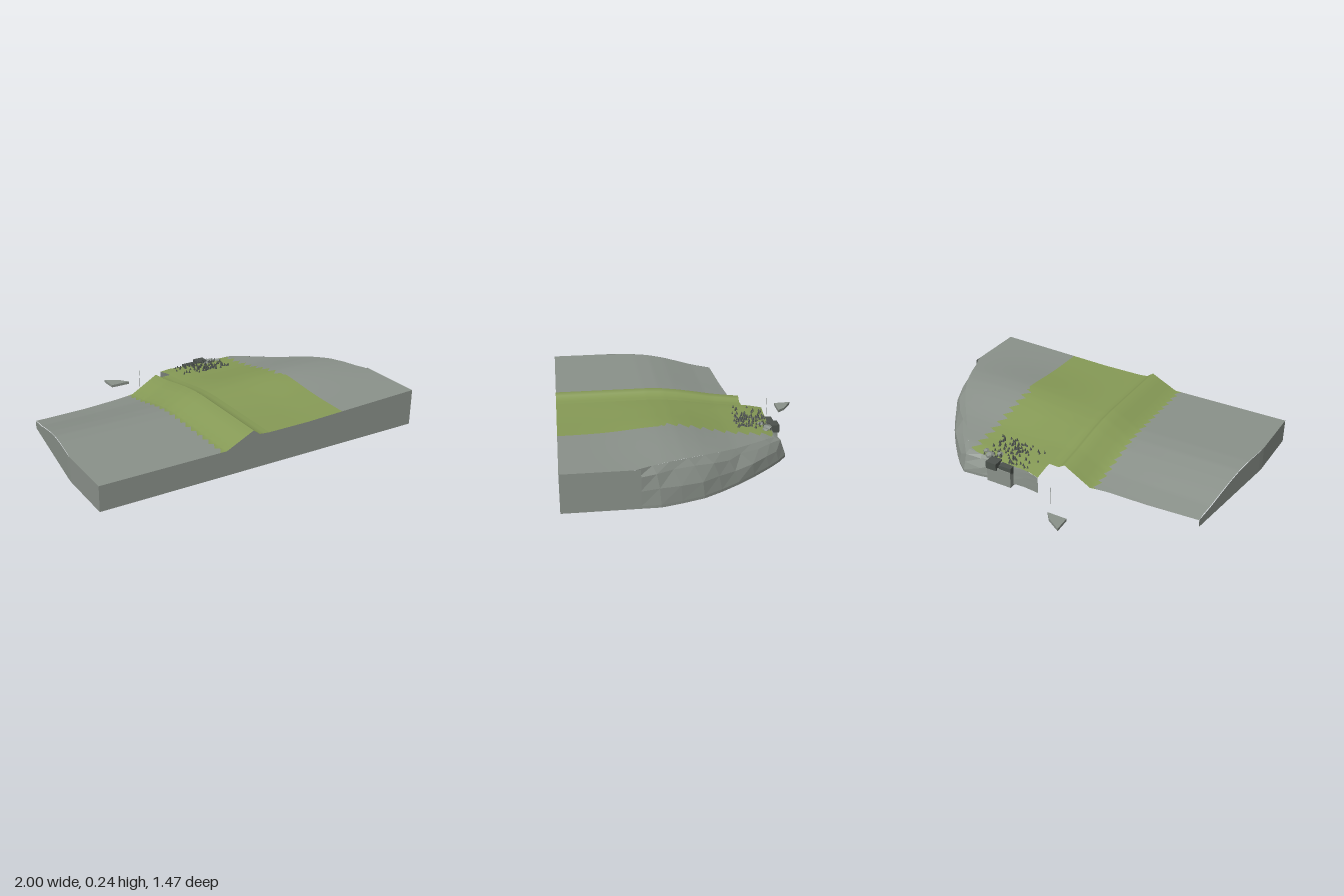
import * as THREE from 'three';
import { mergeGeometries } from 'three/addons/utils/BufferGeometryUtils.js';

const FRONT = 0.735, BASE = 0.01;
const lerp = THREE.MathUtils.lerp;

// Piecewise-linear lookup through [key, value] pairs with rising keys
function table(pairs, k) {
  if (k <= pairs[0][0]) return pairs[0][1];
  for (let i = 1; i < pairs.length; i++) {
    const [a, va] = pairs[i - 1], [b, vb] = pairs[i];
    if (k <= b) return lerp(va, vb, (k - a) / (b - a));
  }
  return pairs[pairs.length - 1][1];
}

// Ground height: front profile, gentle dome on the right, falling to the back
const PROFILE = [[-1, 0.155], [-0.265, 0.155], [-0.1, 0.235], [-0.08, 0.22], [-0.06, 0.205], [0, 0.2], [0.25, 0.2], [0.6, 0.212], [1, 0.225]];
const DROP = [[-0.52, 0.11], [-0.4, 0.08], [-0.32, 0.071], [-0.2, 0.055], [-0.1, 0.036], [0, 0.018], [0.1, 0.005], [0.2, 0]];
const DROP_SCALE = [[-0.6, 1.4], [-0.27, 1.2], [-0.1, 1], [0.05, 0.75], [1, 0.85]];
function height(x, z) {
  const across = x > 0 ? Math.sin(Math.PI * Math.min(x, 1)) : 0;
  const dome = 0.028 * across * Math.exp(-(((z - 0.15) / 0.26) ** 2));
  return table(PROFILE, x) + dome - table(DROP, z) * table(DROP_SCALE, x);
}

// Rim and foot of the cliff, from the right wall round to the back
const RIM = [[1, 0.36], [0.96, 0.27], [0.93, 0.18], [0.89, 0.08], [0.84, -0.01], [0.77, -0.11], [0.7, -0.2], [0.62, -0.3], [0.55, -0.39], [0.49, -0.46], [0.4, -0.465], [0.3, -0.47], [0.2, -0.475], [0.1, -0.475], [0, -0.49]];
const FOOT = [[1, 0.33], [1, 0.23], [0.97, 0.12], [0.93, 0.0], [0.87, -0.1], [0.8, -0.2], [0.72, -0.3], [0.63, -0.4], [0.56, -0.47], [0.49, -0.525], [0.38, -0.515], [0.3, -0.5], [0.2, -0.485], [0.1, -0.48], [0, -0.49]];
const rimByZ = RIM.slice(0, 10).map(([x, z]) => [z, x]).reverse();
const backByX = RIM.slice(9).map(([x, z]) => [x, z]).reverse();

// Surface through rows of [x, y, z] points
function grid(name, rows, material, flat = false) {
  const n = rows[0].length, index = [];
  for (let r = 0; r < rows.length - 1; r++) {
    for (let c = 0; c < n - 1; c++) {
      const a = r * n + c, b = a + n;
      index.push(a, a + 1, b, a + 1, b + 1, b);
    }
  }
  let geo = new THREE.BufferGeometry();
  geo.setAttribute('position', new THREE.Float32BufferAttribute(rows.flat(2), 3));
  geo.setIndex(index);
  if (flat) geo = geo.toNonIndexed();
  geo.computeVertexNormals();
  const mesh = new THREE.Mesh(geo, material);
  mesh.name = name;
  return mesh;
}

// Ground patch: each column is an x value or a function of z
const ROWS = 72;
function ground(name, columns, backZ, material) {
  const rows = [];
  for (let r = 0; r <= ROWS; r++) {
    const v = r / ROWS;
    rows.push(columns.map((col) => {
      let x = typeof col === 'number' ? col : col(lerp(FRONT, backZ(0.49), v), r);
      const z = lerp(FRONT, backZ(x), v);
      return [x, height(x, z), z];
    }));
  }
  return grid(name, rows, material);
}

export function createModel() {
  const model = new THREE.Group();
  model.name = 'terrain';
  const mat = (name, color) => {
    const m = new THREE.MeshStandardMaterial({ color, side: THREE.DoubleSide });
    m.name = name;
    return m;
  };
  const stone = mat('stone grey', 0x8a918a);
  const grass = mat('grass green', 0x869a56);
  const dark = mat('dark rock', 0x4c524d);

  let seed = 7;
  const rand = () => (seed = (seed * 16807) % 2147483647) / 2147483647;

  // Ground: saw-toothed grass band between two stone areas
  const leftEdge = (z) => table([[-0.32, -0.915], [0.37, -1]], z);
  const leftJag = (z, r) => (r % 4 === 0 ? -0.305 : -0.305 + 0.009 * (r % 4));
  const rightJag = (z, r) => (z > 0.18 ? 0.49 : 0.44 + 0.016 * (r % 4));
  const rightRim = (z) => table(rimByZ, z);
  const leftBack = (x) => table([[-0.92, -0.32], [-0.32, -0.35], [-0.29, -0.365], [0, -0.365]], x);
  const hillBack = (x) => table(backByX, x);
  const between = (a, b, t) => (z, r) => lerp(a(z, r), b(z, r), t);
  const steps = (a, b, n) => Array.from({ length: n + 1 }, (_, i) => between(a, b, i / n));

  model.add(
    ground('leftStoneGround', steps(leftEdge, leftJag, 8), leftBack, stone),
    ground('grassRidge', [leftJag, -0.265, -0.22, -0.16, -0.1, -0.08, -0.06, -0.03, 0], leftBack, grass),
    ground('grassHill', [0, 0.06, 0.12, 0.18, 0.25, 0.32, 0.38, 0.425, rightJag], hillBack, grass),
    ground('rightStoneGround', steps(rightJag, rightRim, 8), hillBack, stone),
  );

  // Cut walls at the front, left and right; the underside stays open
  const wall = (name, points) => grid(name, [
    points.map(([x, z]) => [x, height(x, z), z]),
    points.map(([x, z]) => [x, BASE, z]),
  ], stone, true);
  const line = (n, f) => Array.from({ length: n + 1 }, (_, i) => f(i / n));
  model.add(
    wall('frontWall', [-1, -0.265, -0.1, -0.08, -0.06, ...line(12, (t) => t)].map((x) => [x, FRONT])),
    wall('leftWall', line(24, (t) => { const z = lerp(FRONT, -0.32, t); return [leftEdge(z), z]; })),
    wall('rightWall', [[1, FRONT], [1, 0.55], [1, 0.36], [1, 0.33]]),
  );

  // Faceted cliff with a thin plinth along its foot
  const ring = (out, up, rough) => RIM.map(([x, z], i) => {
    const [fx, fz] = FOOT[i];
    const inner = i > 0 && i < RIM.length - 1 ? rough : 0;
    const t = out + (rand() - 0.5) * inner;
    return [lerp(x, fx, t), lerp(height(x, z), 0.025, up + (rand() - 0.5) * inner * 0.5), lerp(z, fz, t)];
  });
  model.add(grid('cliff', [
    ring(0, 0, 0), ring(0.4, 0.22, 0.3), ring(0.8, 0.6, 0.3), ring(1, 1, 0),
    FOOT.map(([x, z]) => [x, BASE, z]),
  ], stone, true));

  // Blocks standing in the back edge of the hill
  const block = (name, x0, x1, y0, y1, z0, z1, material) => {
    const mesh = new THREE.Mesh(new THREE.BoxGeometry(x1 - x0, y1 - y0, z1 - z0), material);
    mesh.name = name;
    mesh.position.set((x0 + x1) / 2, (y0 + y1) / 2, (z0 + z1) / 2);
    model.add(mesh);
  };
  block('footBlock', 0.17, 0.33, 0, 0.1, -0.515, -0.33, stone);
  block('rockBlockA', 0.17, 0.25, 0.08, 0.125, -0.51, -0.46, dark);
  block('rockBlockB', 0.26, 0.33, 0.09, 0.135, -0.525, -0.46, dark);
  block('thinPost', -0.121, -0.119, 0.015, 0.125, -0.551, -0.549, stone);

  // Boulders near the outcrop
  [[0.35, -0.45, 0.03], [0.3, -0.42, 0.02], [0.39, -0.43, 0.02]].forEach(([x, z, s]) => {
    const rock = new THREE.Mesh(new THREE.DodecahedronGeometry(s).toNonIndexed(), stone);
    rock.name = 'boulder';
    rock.scale.y = 0.6;
    rock.position.set(x, height(x, z), z);
    model.add(rock);
  });

  // Scattered small spikes of rock on the hilltop
  const spikes = [];
  for (let i = 0; i < 110; i++) {
    const x = 0.2 + (rand() + rand() - 1) * 0.17 + 0.03, z = lerp(-0.47, -0.27, rand());
    const h = 0.014 + 0.01 * rand();
    spikes.push(new THREE.ConeGeometry(0.006 + 0.003 * rand(), h, 5).translate(x, height(x, z) + h * 0.45, z));
  }
  const scatter = new THREE.Mesh(mergeGeometries(spikes), dark);
  scatter.name = 'smallRocks';
  model.add(scatter);

  // Detached fragment behind the slab
  const outline = [[-0.28, -0.735], [-0.19, -0.68], [-0.155, -0.635], [-0.275, -0.635]];
  const shape = new THREE.Shape(outline.map(([x, z]) => new THREE.Vector2(x, -z)));
  const fragment = new THREE.Mesh(
    new THREE.ExtrudeGeometry(shape, { depth: 0.016, bevelEnabled: false }).rotateX(-Math.PI / 2), stone);
  fragment.name = 'looseFragment';
  fragment.position.y = 0.011;
  model.add(fragment);

  return model;
}
